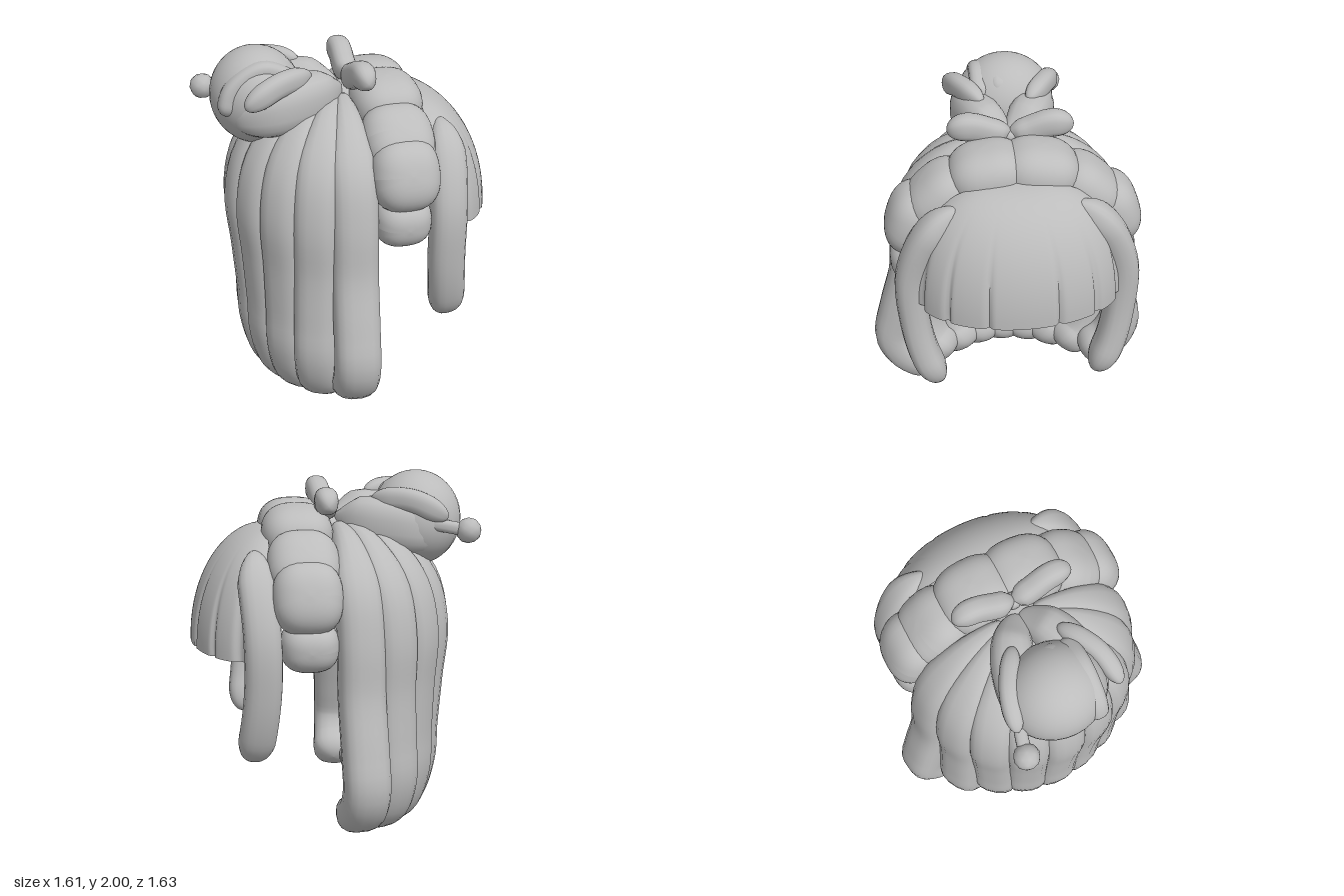
import * as THREE from 'three';
import { toCreasedNormals } from 'three/addons/utils/BufferGeometryUtils.js';

const hair = new THREE.MeshStandardMaterial({ color: 0xbcbcbc, side: THREE.DoubleSide });
hair.name = 'hairGrey';

// Surface from a grid of points; rows optionally wrap round
function gridGeometry(rows, wrap) {
  const n = rows[0].length, index = [];
  for (let i = 0; i < rows.length - 1; i++) {
    for (let j = 0; j < (wrap ? n : n - 1); j++) {
      const k = (j + 1) % n, a = i * n + j, b = i * n + k, c = a + n, d = b + n;
      index.push(a, b, c, b, d, c);
    }
  }
  const g = new THREE.BufferGeometry().setFromPoints(rows.flat());
  g.setIndex(index);
  g.computeVertexNormals();
  return g;
}

// Rounded lock of hair swept along a path; side is its width direction
function lock(points, side, width, depth, { root = 1, cap = 0.06, steps = 36 } = {}) {
  const curve = new THREE.CatmullRomCurve3(points.map(p => new THREE.Vector3(...p)), false, 'centripetal');
  const axis = new THREE.Vector3(...side), rows = [];
  const round = t => (t >= cap ? 1 : Math.sqrt(Math.max(0, 1 - (1 - t / cap) ** 2)));
  for (let i = 0; i <= steps; i++) {
    const t = (1 - Math.cos(Math.PI * i / steps)) / 2;
    const c = curve.getPointAt(t), T = curve.getTangentAt(t);
    const S = axis.clone().addScaledVector(T, -axis.dot(T)).normalize();
    const N = T.clone().cross(S);
    const end = round(t) * round(1 - t);
    const w = width * end * Math.min(1, root + t * 3), d = depth * end;
    const ring = [];
    for (let j = 0; j < 18; j++) {
      const a = j / 18 * Math.PI * 2, co = Math.cos(a), si = Math.sin(a);
      ring.push(c.clone()
        .addScaledVector(S, w * Math.sign(co) * Math.abs(co) ** 0.8)
        .addScaledVector(N, d * Math.sign(si) * Math.abs(si) ** 0.8));
    }
    rows.push(ring);
  }
  return gridGeometry(rows, true);
}

// Plump, slightly boxy pillow
function puff(rx, ry, rz) {
  const g = new THREE.SphereGeometry(1, 28, 20), p = g.attributes.position;
  const fat = (v, e) => Math.sign(v) * Math.abs(v) ** e;
  for (let i = 0; i < p.count; i++) {
    p.setXYZ(i, fat(p.getX(i), 0.75) * rx, fat(p.getY(i), 0.9) * ry, fat(p.getZ(i), 0.8) * rz);
  }
  g.computeVertexNormals();
  return g;
}

// Domed fringe with grooves, a flat lower edge and a hollow inside
function fringeGeometry() {
  const seams = [-0.93, -0.7, -0.33, 0.33, 0.7, 0.93], profile = [], rows = [];
  for (let i = 0; i <= 20; i++) profile.push([i / 20 * Math.PI / 2, 1]);
  for (let i = 20; i >= 0; i--) profile.push([i / 20 * Math.PI / 2, 0.84]);
  for (const [phi, scale] of profile) {
    const row = [], s = Math.sin(phi);
    for (let i = 0; i <= 120; i++) {
      const u = (i / 120 - 0.5) * Math.PI, q = Math.sin(u);
      const groove = Math.max(...seams.map(m => Math.exp(-(((q - m) / 0.025) ** 2))));
      const r = scale * (1 - (scale === 1 ? 0.045 * groove * s ** 5 : 0));
      row.push(new THREE.Vector3(
        0.37 + 0.43 * r * s * Math.max(0, Math.cos(u)) ** 0.85,
        1.055 + 0.645 * (scale === 1 ? 1 : 0.85) * Math.cos(phi),
        0.585 * r * s ** 0.65 * q));
    }
    rows.push(row);
  }
  return toCreasedNormals(gridGeometry(rows, false), 0.9);
}

export function createModel() {
  const model = new THREE.Group();
  const add = (name, geometry, x = 0, y = 0, z = 0) => {
    const m = new THREE.Mesh(geometry, hair);
    m.name = name;
    m.position.set(x, y, z);
    model.add(m);
    return m;
  };

  // Long back locks fanning out from the crown; the outer ones flare and curl in
  const heights = [1.64, 1.59, 1.4, 1.15, 0.85, 0.55, 0.35, 0.18, 0.095];
  const backR = [0.04, 0.3, 0.49, 0.555, 0.53, 0.505, 0.495, 0.43, 0.32];
  const sideR = [0.04, 0.3, 0.5, 0.57, 0.595, 0.67, 0.705, 0.63, 0.46];
  for (let k = -4; k <= 4; k++) {
    const a = k / 4 * 1.43, t = Math.abs(k / 4) ** 3;
    const path = heights.map((y, i) => {
      const r = THREE.MathUtils.lerp(backR[i], sideR[i], t);
      return [-0.02 - r * Math.cos(a), i > 6 ? y - 0.04 + 0.07 * t : y, r * Math.sin(a)];
    });
    add('backLock', lock(path, [Math.sin(a), 0, Math.cos(a)], 0.13, 0.112,
      { root: 0.3, cap: 0.05, steps: 48 }));
  }

  // Fringe over the forehead
  add('fringe', fringeGeometry());

  // Crown between the back locks and the band, with the bow's knot
  add('crown', puff(0.1, 0.1, 0.12), 0, 1.66, 0);
  add('bowKnot', puff(0.045, 0.045, 0.04), 0.035, 1.785, 0);

  // Braided band: x, y, z, tilt, half width, half thickness, half length
  const band = [
    [0.2, 1.67, 0.14, 0.15, 0.2, 0.165, 0.22],
    [0.19, 1.54, 0.4, 0.75, 0.2, 0.155, 0.21],
    [0.185, 1.4, 0.55, 1.25, 0.19, 0.15, 0.2],
    [0.175, 1.135, 0.54, 1.65, 0.16, 0.15, 0.14],
  ];
  for (const s of [1, -1]) {
    for (const [x, y, z, tilt, w, h, l] of band) {
      add('braidSegment', puff(w, h, l), x, y, z * s).rotation.x = tilt * s;
    }

    // Face-framing side lock, rooted under the fringe
    add('sideLock', lock([[0.45, 1.6, 0.29 * s], [0.45, 1.47, 0.465 * s], [0.43, 1.2, 0.58 * s],
      [0.43, 0.9, 0.575 * s], [0.455, 0.65, 0.525 * s], [0.485, 0.465, 0.44 * s]],
    [1, 0, 0], 0.103, 0.085, { root: 0.5, cap: 0.13 }));

    // Bow loop on the crown
    add('bowLoop', lock([[0.03, 1.78, -0.01 * s], [0.035, 1.82, 0.1 * s], [0.045, 1.865, 0.22 * s],
      [0.045, 1.85, 0.345 * s]], [1, 0, 0], 0.065, 0.075, { root: 0.5, cap: 0.3 }));

    // Lobe wrapped around the bun
    add('bunLobe', lock([[-0.03, 1.755, 0.01 * s], [-0.2, 1.735, 0.12 * s], [-0.42, 1.705, 0.18 * s],
      [-0.66, 1.65, 0.13 * s]], [0, 1, 0], 0.145, 0.12, { root: 0.4, cap: 0.4 }));

    // Thin twist across the bun
    add('bunTwist', lock([[-0.62, 1.77, 0.3 * s], [-0.43, 1.86, 0.25 * s], [-0.22, 1.86, 0.13 * s]],
      [0, 1, 0], 0.065, 0.055, { cap: 0.3 }));
  }

  // Bun with two strips over its top
  add('bun', new THREE.SphereGeometry(1, 32, 24), -0.49, 1.732, -0.02).scale.set(0.255, 0.268, 0.28);
  for (const z of [0.02, 0.13]) {
    const h = z > 0.1 ? 0.03 : 0;
    add('bunStrip', lock([[-0.7, 1.68, z], [-0.65, 1.85 - h, z], [-0.49, 1.945 - h, z],
      [-0.3, 1.87 - h, z]], [0, 0, 1], 0.055, 0.05, { cap: 0.12 }));
  }

  // Hairpin through the bun
  add('pinStick', lock([[-0.5, 1.74, -0.24], [-0.62, 1.72, -0.28], [-0.74, 1.7, -0.31]],
    [0, 1, 0], 0.035, 0.035));
  add('pinBall', new THREE.IcosahedronGeometry(0.072, 1), -0.735, 1.7, -0.305);

  return model;
}
